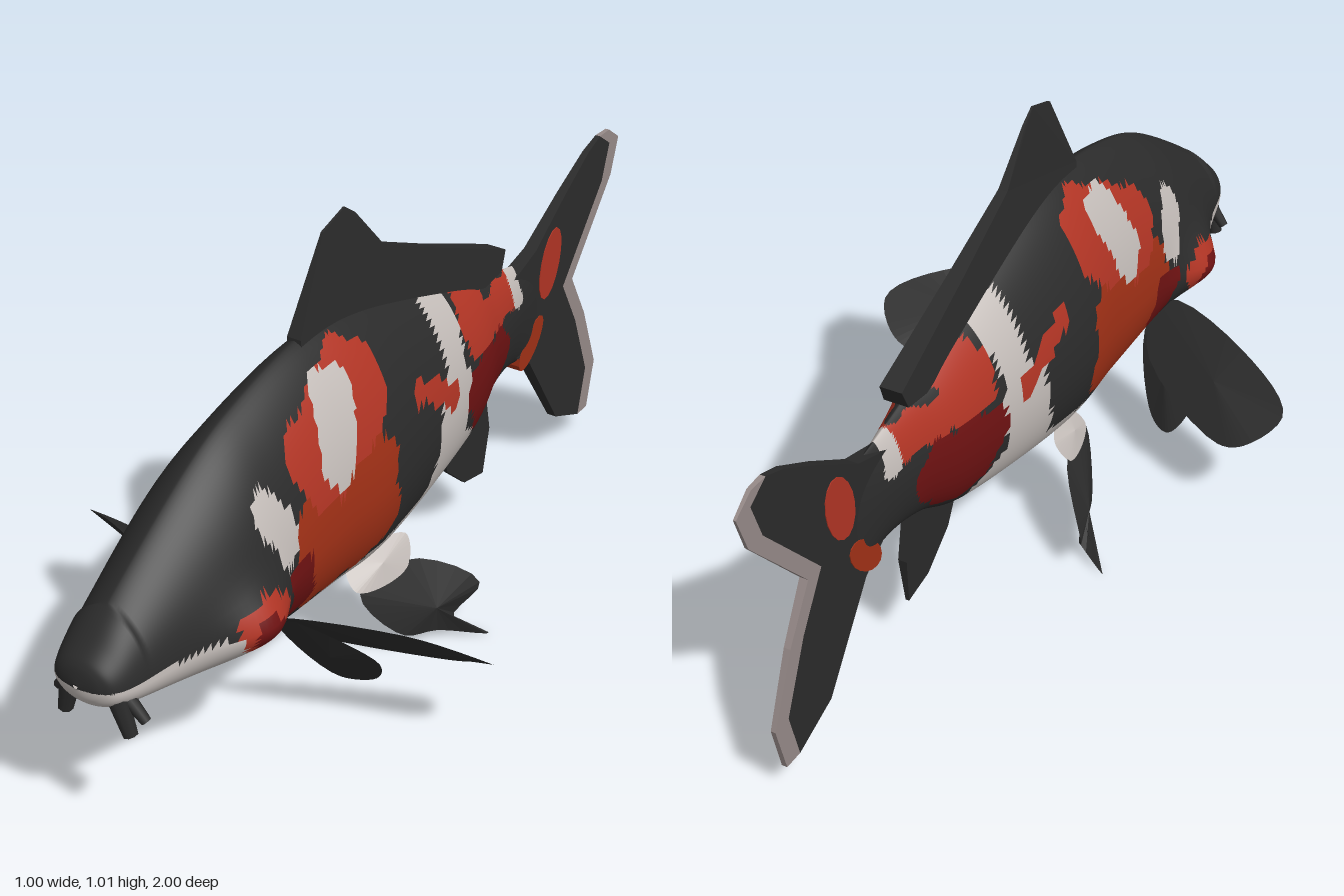
import * as THREE from 'three';

const mat = (name, color) => {
  const m = new THREE.MeshStandardMaterial({ color });
  m.name = name;
  return m;
};
const palette = [
  mat('black', 0x2b2b2b), mat('white', 0xc4bdb9), mat('red', 0xb03424),
  mat('rust', 0xa03016), mat('maroon', 0x6e1212), mat('fin trim', 0x968a88),
];
const [black, white, red, rust, maroon, trim] = palette;

// Body stations: z, top, bottom, half width, height of the widest point
const stations = [
  [1, 0.4, 0.39, 0.005, 0.395],
  [0.99, 0.435, 0.36, 0.05, 0.395],
  [0.96, 0.465, 0.335, 0.08, 0.385],
  [0.87, 0.54, 0.31, 0.105, 0.385],
  [0.65, 0.685, 0.265, 0.15, 0.4],
  [0.5, 0.75, 0.24, 0.15, 0.42],
  [0.3, 0.795, 0.22, 0.147, 0.44],
  [0.1, 0.785, 0.215, 0.147, 0.45],
  [-0.25, 0.69, 0.28, 0.1, 0.47],
  [-0.4, 0.64, 0.345, 0.06, 0.485],
  [-0.52, 0.61, 0.36, 0.035, 0.485],
  [-0.64, 0.59, 0.32, 0.012, 0.46],
];

// Upper edge of the white underside as (z, y)
const belly = [[1, 0.39], [0.72, 0.4], [0.57, 0.33], [0.53, 0.28], [0.2, 0.29], [0.03, 0.32], [-0.19, 0.39], [-0.27, 0.33]];

// Painted strokes on both flanks: colour, z and y of each end, radius; later ones lie on top
const strokes = [
  [white, -0.09, 0.36, -0.12, 0.5, 0.075],
  [white, -0.13, 0.5, -0.16, 0.75, 0.05],
  [red, 0.67, 0.4, 0.62, 0.4, 0.05],
  [maroon, 0.66, 0.39, 0.63, 0.38, 0.03],
  [white, 0.56, 0.58, 0.53, 0.5, 0.04],
  [rust, 0.42, 0.4, 0.25, 0.4, 0.11],
  [rust, 0.4, 0.48, 0.25, 0.5, 0.1],
  [red, 0.37, 0.61, 0.23, 0.68, 0.1],
  [maroon, 0.5, 0.41, 0.48, 0.35, 0.045],
  [white, 0.33, 0.58, 0.29, 0.7, 0.055],
  [red, 0.03, 0.59, -0.11, 0.515, 0.025],
  [red, -0.26, 0.62, -0.31, 0.7, 0.065],
  [red, -0.25, 0.57, -0.49, 0.58, 0.04],
  [maroon, -0.26, 0.46, -0.37, 0.46, 0.075],
  [maroon, -0.28, 0.39, -0.34, 0.39, 0.05],
  [white, -0.51, 0.6, -0.515, 0.54, 0.025],
];

function colourAt(z, y) {
  let found = black;
  belly.slice(1).forEach(([bz, by], i) => {
    const [az, ay] = belly[i];
    if (z <= az && z > bz && y < ay + ((by - ay) * (z - az)) / (bz - az)) found = white;
  });
  for (const [colour, az, ay, bz, by, r] of strokes) {
    const dz = bz - az, dy = by - ay;
    const t = THREE.MathUtils.clamp(((z - az) * dz + (y - ay) * dy) / (dz * dz + dy * dy), 0, 1);
    const wobble = 0.006 * Math.sin(z * 70 + y * 30);
    if (Math.hypot(z - az - t * dz, y - ay - t * dy) < r + wobble) found = colour;
  }
  return found;
}

// Smooth interpolation between the body stations
function sample(u) {
  const n = stations.length - 1, i = Math.min(Math.floor(u), n - 1), t = u - i;
  const [a, b, c, d] = [i - 1, i, i + 1, i + 2].map(k => stations[THREE.MathUtils.clamp(k, 0, n)]);
  return b.map((v, k) => v + 0.5 * t * (c[k] - a[k] +
    t * (2 * a[k] - 5 * v + 4 * c[k] - d[k] + t * (3 * (v - c[k]) + d[k] - a[k]))));
}

function makeBody() {
  const rows = 180, cols = 80, pos = [];
  for (let i = 0; i <= rows; i++) {
    const [z, top, bot, hw, mid] = sample((i / rows) * (stations.length - 1));
    const sharp = z > 0.9 ? 1 : 1.4;
    for (let j = 0; j < cols; j++) {
      const a = (j / cols) * Math.PI * 2, c = Math.cos(a), s = Math.sin(a);
      const y = mid + c * (c > 0 ? top - mid : mid - bot);
      // swollen gill covers
      const gill = 0.05 * Math.exp(-(((z - 0.65) / 0.09) ** 2) - (((y - 0.39) / 0.07) ** 2));
      pos.push(Math.sign(s) * Math.abs(s) ** (c > 0 ? sharp : 0.95) * (hw + gill), y, z);
    }
  }
  const buckets = palette.map(() => []);
  for (let i = 0; i < rows; i++) for (let j = 0; j < cols; j++) {
    const a = i * cols + j, b = i * cols + ((j + 1) % cols), c = a + cols, d = b + cols;
    for (const tri of [[a, b, c], [b, d, c]]) {
      const mean = k => tri.reduce((sum, v) => sum + pos[v * 3 + k], 0) / 3;
      buckets[palette.indexOf(colourAt(mean(2), mean(1)))].push(...tri);
    }
  }
  const g = new THREE.BufferGeometry();
  g.setAttribute('position', new THREE.Float32BufferAttribute(pos, 3));
  g.setIndex(buckets.flat());
  let start = 0;
  buckets.forEach((b, i) => {
    if (b.length) g.addGroup(start, b.length, i);
    start += b.length;
  });
  g.computeVertexNormals();
  return new THREE.Mesh(g, palette);
}

// Upright fin on the centre line from a (z, y) outline, with half thickness half(z, y)
function sheet(outline, half, material) {
  const shape = new THREE.Shape(outline.map(([z, y]) => new THREE.Vector2(-z, y)));
  const g = new THREE.ExtrudeGeometry(shape, { depth: 2, bevelEnabled: false });
  g.translate(0, 0, -1).rotateY(Math.PI / 2);
  const p = g.attributes.position;
  for (let i = 0; i < p.count; i++) p.setX(i, p.getX(i) * half(p.getZ(i), p.getY(i)));
  g.computeVertexNormals();
  return new THREE.Mesh(g, material);
}

// Tilted oval outline for painted spots
const oval = (z, y, rz, ry, tilt) => Array.from({ length: 16 }, (_, i) => {
  const p = new THREE.Vector2(rz * Math.cos(i * Math.PI / 8), ry * Math.sin(i * Math.PI / 8));
  p.rotateAround(new THREE.Vector2(), tilt);
  return [z + p.x, y + p.y];
});

// Lens-shaped paired fin inside a rounded 3D outline, thickest in the middle
function lens(outline, side, thick, material) {
  const corners = outline.map(([x, y, z]) => new THREE.Vector3(x * side, y, z));
  const pts = new THREE.CatmullRomCurve3(corners, true).getPoints(32).slice(0, -1);
  const c = new THREE.Vector3(), n = new THREE.Vector3();
  pts.forEach(p => c.addScaledVector(p, 1 / pts.length));
  const next = i => pts[(i + 1) % pts.length];
  pts.forEach((p, i) => n.add(p.clone().sub(c).cross(next(i).clone().sub(c))));
  n.setLength(thick);
  const up = c.clone().add(n), down = c.clone().sub(n);
  const g = new THREE.BufferGeometry().setFromPoints(pts.flatMap((p, i) => [up, p, next(i), down, next(i), p]));
  g.computeVertexNormals();
  return new THREE.Mesh(g, material);
}

// Tapered feeler between two points
function barbel(from, to, side, r) {
  const a = new THREE.Vector3(...from), b = new THREE.Vector3(...to);
  a.x *= side;
  b.x *= side;
  const d = b.clone().sub(a);
  const mesh = new THREE.Mesh(new THREE.CylinderGeometry(r * 0.7, r, d.length(), 8), black);
  mesh.position.copy(a).addScaledVector(d, 0.5);
  mesh.quaternion.setFromUnitVectors(new THREE.Vector3(0, 1, 0), d.normalize());
  return mesh;
}

function lip(y, z, material) {
  const mesh = new THREE.Mesh(new THREE.SphereGeometry(1, 20, 12), material);
  mesh.scale.set(0.06, 0.016, 0.03);
  mesh.position.set(0, y, z);
  return mesh;
}

export function createModel() {
  const fish = new THREE.Group();
  const add = (name, mesh) => {
    mesh.name = name;
    fish.add(mesh);
  };
  add('body', makeBody());
  add('upperLip', lip(0.398, 0.968, black));
  add('lowerLip', lip(0.365, 0.962, white));

  // Centre line fins
  add('dorsalFin', sheet([[0.3, 0.78], [0.3, 0.8], [0.2, 0.99], [0.125, 1.015], [0.09, 0.99], [0, 0.885],
    [-0.2, 0.795], [-0.46, 0.685], [-0.44, 0.64], [-0.37, 0.63], [0.1, 0.75]],
  (z, y) => Math.max(0.002, 0.072 * (1.03 - y)), black));
  add('analFin', sheet([[-0.22, 0.31], [-0.26, 0.21], [-0.34, 0.14], [-0.42, 0.125], [-0.435, 0.24], [-0.4, 0.37]],
    (z, y) => 0.004 + 0.05 * Math.max(0, y - 0.12), black));

  // Tail with pale trailing edge and painted spots
  const tailHalf = z => 0.003 + 0.032 * (1 + z);
  const spotHalf = z => tailHalf(z) + 0.002;
  const outer = [[-0.95, 0.785], [-1, 0.75], [-0.97, 0.665], [-0.795, 0.465], [-0.865, 0.345], [-0.93, 0.185], [-0.9, 0.07]];
  const inner = outer.map(([z, y]) => [z + 0.045, y]);
  add('tailFin', sheet([[-0.5, 0.58], [-0.61, 0.615], [-0.74, 0.7], [-0.85, 0.765], ...inner,
    [-0.74, 0.12], [-0.6, 0.33], [-0.5, 0.4]], tailHalf, black));
  add('tailTrim', sheet([...outer, ...inner.reverse()], tailHalf, trim));
  add('tailUpperSpot', sheet(oval(-0.68, 0.555, 0.045, 0.085, 0.3), spotHalf, red));
  add('tailLowerSpot', sheet(oval(-0.6, 0.385, 0.033, 0.07, 0.8), spotHalf, rust));

  // Paired fins and barbels
  for (const [side, s] of [['left', 1], ['right', -1]]) {
    add(side + 'PectoralFin', lens([[0.13, 0.335, 0.55], [0.37, 0.325, 0.45], [0.5, 0.26, 0.36],
      [0.44, 0.2, 0.295], [0.37, 0.18, 0.3], [0.12, 0.25, 0.47]], s, 0.012, black));
    add(side + 'PectoralLobe', lens([[0.14, 0.33, 0.54], [0.27, 0.2, 0.41],
      [0.23, 0.115, 0.365], [0.17, 0.12, 0.4], [0.1, 0.28, 0.51]], s, 0.01, black));
    add(side + 'PelvicFin', lens([[0.095, 0.185, 0.215], [0.15, 0.06, 0.14], [0.18, 0.025, 0.04],
      [0.262, 0.007, -0.033], [0.19, 0.04, 0], [0.22, 0.105, -0.06], [0.125, 0.2, 0.06]], s, 0.01, black));
    add(side + 'PelvicFinBase', lens([[0.05, 0.235, 0.2], [0.09, 0.19, 0.22],
      [0.125, 0.19, 0.08], [0.1, 0.25, 0.05]], s, 0.016, white));
    add(side + 'LongBarbel', barbel([0.055, 0.365, 0.95], [0.078, 0.283, 0.945], s, 0.022));
    add(side + 'ShortBarbel', barbel([0.07, 0.355, 0.935], [0.105, 0.315, 0.93], s, 0.015));
  }
  return fish;
}
